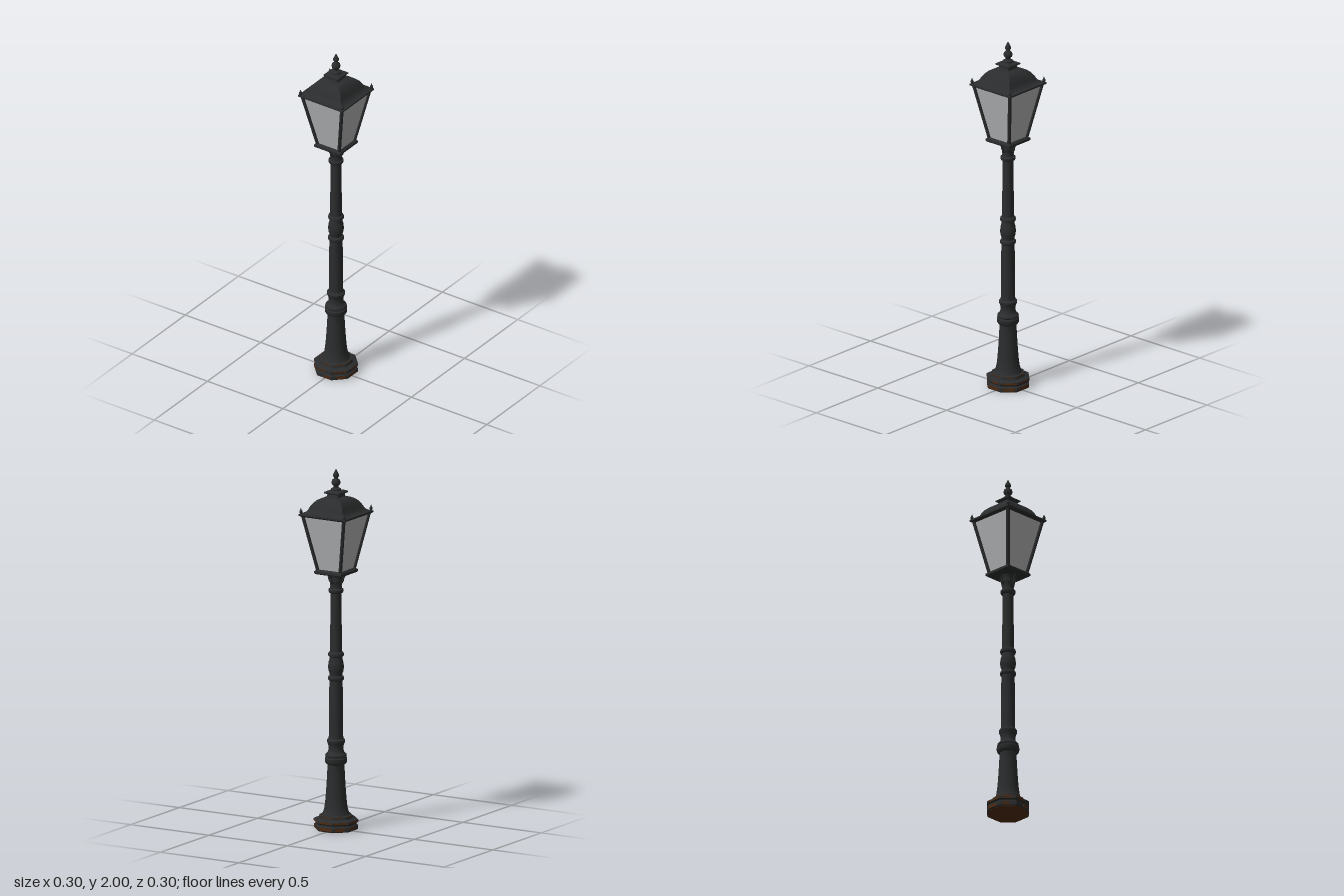
import * as THREE from 'three';
import { toCreasedNormals } from 'three/addons/utils/BufferGeometryUtils.js';

const iron = new THREE.MeshStandardMaterial({ color: 0x2b2c2d });
iron.name = 'dark iron';
const glass = new THREE.MeshStandardMaterial({ color: 0xb2b3b5, side: THREE.DoubleSide });
glass.name = 'pale glass';
const rust = new THREE.MeshStandardMaterial({ color: 0x4f2a10 });
rust.name = 'rust';

export function createModel() {
  const model = new THREE.Group();
  model.name = 'streetLamp';

  const add = (name, geometry, material = iron, parent = model) => {
    const mesh = new THREE.Mesh(geometry, material);
    mesh.name = name;
    parent.add(mesh);
    return mesh;
  };

  // Turned profile of [radius, height], bottom to top
  const turned = (profile, sides = 24) => toCreasedNormals(
    new THREE.LatheGeometry(profile.map(([r, y]) => new THREE.Vector2(r, y)), sides), 0.7);

  // Profile with flat sides; the radius is measured to the middle of a side
  const faceted = (profile, sides) => {
    const k = 1 / Math.cos(Math.PI / sides);
    const points = profile.map(([r, y]) => new THREE.Vector2(r * k, y));
    return toCreasedNormals(new THREE.LatheGeometry(points, sides, Math.PI / sides), 0.55);
  };

  // Straight bar between two points
  const bar = (name, a, b, radius) => {
    const dir = b.clone().sub(a);
    const mesh = add(name, new THREE.CylinderGeometry(radius, radius, dir.length(), 8));
    mesh.position.copy(a).add(b).multiplyScalar(0.5);
    mesh.quaternion.setFromUnitVectors(new THREE.Vector3(0, 1, 0), dir.normalize());
  };

  // Stepped octagonal foot
  add('base', faceted([
    [0, 0.002], [0.108, 0.002], [0.112, 0.006], [0.112, 0.026], [0.105, 0.031],
    [0.105, 0.038], [0.113, 0.044], [0.113, 0.056], [0.104, 0.062], [0.09, 0.064],
    [0.085, 0.074], [0.085, 0.08], [0.068, 0.086], [0, 0.086],
  ], 8));
  add('rustyUnderside', faceted([[0, 0], [0.105, 0], [0.105, 0.003]], 8), rust);

  // Rust patches on the sides of the foot
  let seed = 7;
  const random = () => (seed = (seed * 16807) % 2147483647) / 2147483647;
  const patches = new THREE.Group();
  patches.name = 'rustPatches';
  model.add(patches);
  for (let i = 0; i < 8; i++) {
    const side = new THREE.Group();
    side.rotation.y = i * Math.PI / 4;
    patches.add(side);
    [[0.016, 0.112, 0.016, 0.09], [0.05, 0.113, 0.01, 0.09], [0.077, 0.085, 0.006, 0.066]]
      .forEach(([y, z, h, span]) => {
        const w = span * (0.4 + 0.5 * random());
        add('rustPatch', new THREE.BoxGeometry(w, h, 0.002), rust, side)
          .position.set((random() - 0.5) * (span - w), y, z);
      });
  }

  // Flared foot of the post and its two collars
  add('lowerPost', turned([
    [0.078, 0.08], [0.07, 0.095], [0.063, 0.12], [0.057, 0.17], [0.052, 0.24],
    [0.048, 0.31], [0.046, 0.36], [0.055, 0.366], [0.061, 0.376], [0.061, 0.395],
    [0.055, 0.402], [0.059, 0.408], [0.057, 0.417], [0.047, 0.424], [0.041, 0.44],
    [0.041, 0.462], [0.046, 0.478], [0.05, 0.486], [0.05, 0.495], [0.04, 0.505],
    [0.039, 0.52],
  ]));

  // Middle shaft with the baluster knot
  add('middlePost', turned([
    [0.039, 0.505], [0.038, 0.7], [0.036, 0.825], [0.042, 0.83], [0.044, 0.838],
    [0.042, 0.847], [0.034, 0.853], [0.035, 0.863], [0.041, 0.88], [0.043, 0.9],
    [0.041, 0.925], [0.035, 0.945], [0.034, 0.957], [0.042, 0.962], [0.043, 0.972],
    [0.041, 0.98], [0.033, 0.986],
  ]));

  // Slim upper shaft and capital
  add('upperPost', turned([
    [0.033, 0.98], [0.031, 1.15], [0.029, 1.31], [0.037, 1.314], [0.042, 1.322],
    [0.041, 1.332], [0.033, 1.338], [0.031, 1.35], [0.034, 1.37], [0.039, 1.38],
    [0.036, 1.395], [0.04, 1.41], [0.045, 1.425],
  ]));

  // Small curved brackets below the lantern
  for (let i = 0; i < 4; i++) {
    const curve = new THREE.CatmullRomCurve3([
      new THREE.Vector3(0.031, 1.365, 0), new THREE.Vector3(0.043, 1.38, 0),
      new THREE.Vector3(0.047, 1.398, 0), new THREE.Vector3(0.056, 1.413, 0),
      new THREE.Vector3(0.066, 1.425, 0),
    ]);
    add('bracket', new THREE.TubeGeometry(curve, 12, 0.005, 6)).rotation.y = i * Math.PI / 2;
  }

  // Lantern floor and its sloping glass
  add('lanternFloor', faceted([
    [0, 1.42], [0.08, 1.42], [0.086, 1.426], [0.086, 1.437], [0.076, 1.446], [0, 1.446],
  ], 4));
  add('glassPanes', faceted([[0.071, 1.445], [0.13, 1.75]], 4), glass);

  // Corner bars and roof-corner finials
  for (const sx of [-1, 1]) for (const sz of [-1, 1]) {
    bar('cornerBar', new THREE.Vector3(sx * 0.071, 1.44, sz * 0.071),
      new THREE.Vector3(sx * 0.131, 1.75, sz * 0.131), 0.01);
    add('cornerFinial', turned([
      [0.006, 1.755], [0.006, 1.762], [0.0095, 1.768], [0.009, 1.774], [0.004, 1.782], [0, 1.795],
    ], 10)).position.set(sx * 0.138, 0, sz * 0.138);
  }

  // Square roof with its curved slope
  add('roof', faceted([
    [0, 1.742], [0.136, 1.742], [0.148, 1.75], [0.148, 1.758], [0.13, 1.762],
    [0.118, 1.77], [0.109, 1.783], [0.101, 1.8], [0.089, 1.818], [0.073, 1.833],
    [0.055, 1.842], [0.037, 1.847], [0.034, 1.862], [0.046, 1.866], [0.048, 1.869],
    [0.048, 1.874], [0.042, 1.877], [0.03, 1.882], [0, 1.882],
  ], 4));

  // Top finial
  add('topFinial', turned([
    [0.028, 1.878], [0.028, 1.89], [0.022, 1.894], [0.012, 1.898], [0.013, 1.905],
    [0.022, 1.914], [0.025, 1.926], [0.021, 1.938], [0.011, 1.947], [0.01, 1.953],
    [0.017, 1.96], [0.017, 1.966], [0.01, 1.98], [0.004, 1.993], [0, 2],
  ], 20));

  return model;
}
